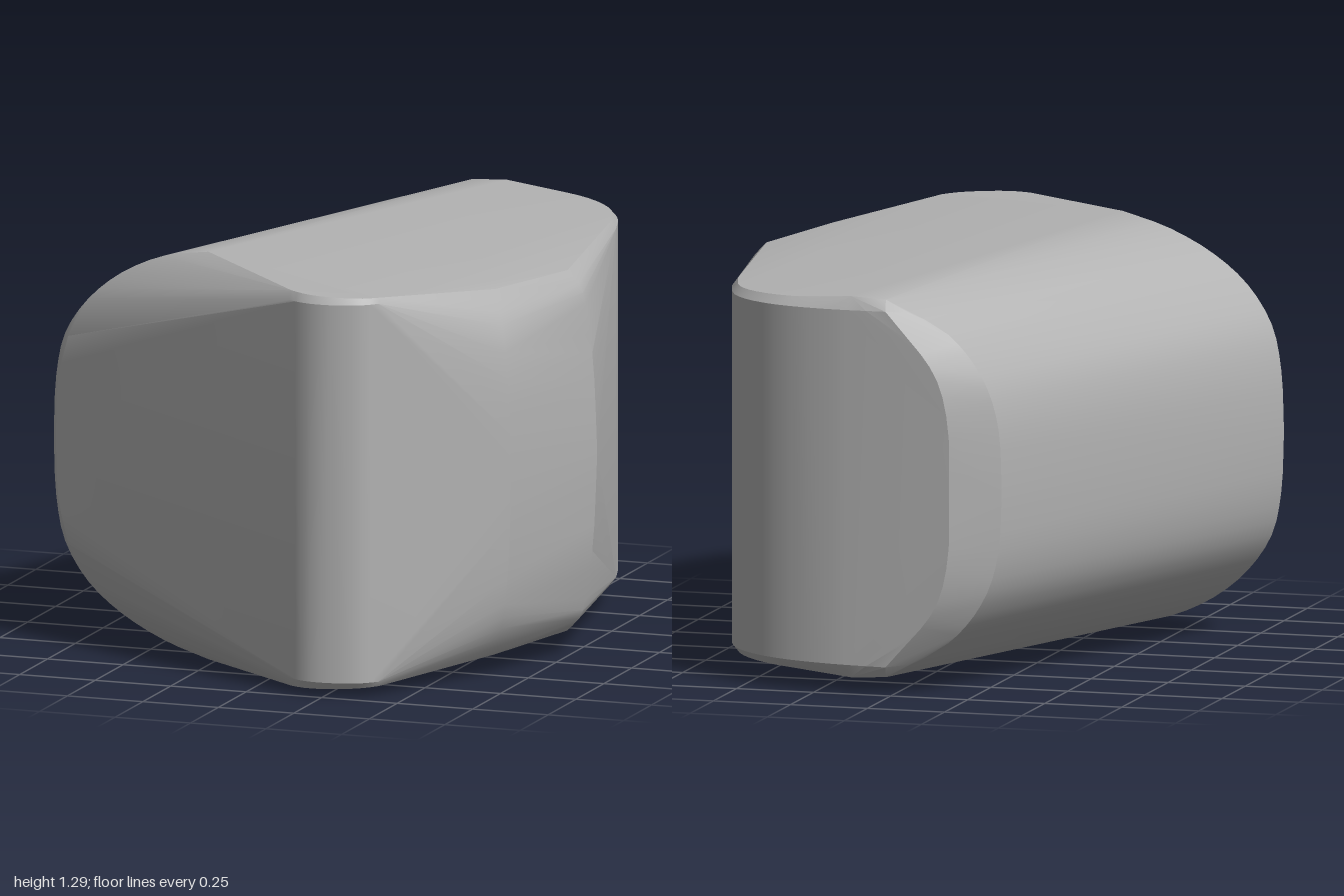
import * as THREE from 'three';
import { toCreasedNormals } from 'three/addons/utils/BufferGeometryUtils.js';
import { ConvexGeometry } from 'three/addons/geometries/ConvexGeometry.js';

const MID = 0.65; // the block mirrors about this height

// Smooth curve through a few points
function curve(points, samples) {
  const path = new THREE.CatmullRomCurve3(points.map((p) => new THREE.Vector3(...p)), false, 'centripetal');
  return path.getPoints(samples);
}

// Upright rounded wall: upper edge of the wall plus a small eased rim above it
function wall(plan, samples, edgeY, rimY, inset) {
  const foot = curve(plan.map(([x, z]) => [x, 0, z]), samples);
  return foot.flatMap((p) => {
    const inward = new THREE.Vector3(-p.x + 0.25, 0, -p.z).normalize().multiplyScalar(inset);
    return [
      new THREE.Vector3(p.x, edgeY(p.x), p.z),
      new THREE.Vector3(p.x, rimY(p.x), p.z).add(inward),
    ];
  });
}

export function createModel() {
  const grey = new THREE.MeshStandardMaterial({ color: 0xb2b2b2 });
  grey.name = 'grey';

  const upper = [
    // rounded long side, front end
    ...curve([
      [-0.84, 0.65, 0.45], [-0.83, 0.84, 0.455], [-0.795, 0.98, 0.47], [-0.71, 1.1, 0.49],
      [-0.6, 1.19, 0.495], [-0.45, 1.26, 0.52], [-0.28, 1.297, 0.58],
    ], 18),
    // rounded long side, back end
    ...curve([
      [-0.335, 0.65, -0.915], [-0.325, 0.84, -0.915], [-0.29, 0.97, -0.92], [-0.22, 1.08, -0.92],
      [-0.13, 1.16, -0.925], [0, 1.22, -0.965], [0.14, 1.25, -0.965],
    ], 18),
    // rim of the flat back face
    ...curve([
      [-0.19, 0.65, -1], [-0.185, 0.86, -1], [-0.15, 1.0, -0.998], [-0.08, 1.1, -0.995], [0.02, 1.18, -0.99],
    ], 10),
    // rim of the flat front face
    ...curve([[-0.82, 0.65, 0.485], [-0.81, 0.84, 0.49], [-0.77, 0.98, 0.51]], 6),
    // back corner and front nose
    ...wall([[0.02, -0.99], [0.2, -0.98], [0.38, -0.935], [0.5, -0.86], [0.58, -0.76], [0.635, -0.6]], 14,
      (x) => 1.21 - 0.01 * x, (x) => 1.245 - 0.03 * x, 0.025),
    ...wall([[0.13, 0.965], [0.18, 0.99], [0.24, 1], [0.31, 0.99], [0.37, 0.965], [0.41, 0.925]], 10,
      () => 1.25, (x) => 1.283 - 0.04 * x, 0.015),
    // bulging right side: ridge, then the facet beside the nose
    ...curve([
      [0.838, 0.65, 0.12], [0.825, 0.93, 0.12], [0.805, 1.08, 0.12],
      [0.785, 1.17, 0.12], [0.74, 1.222, 0.12],
    ], 10),
    ...curve([
      [0.725, 0.65, 0.59], [0.722, 0.83, 0.59], [0.705, 1.05, 0.585], [0.68, 1.15, 0.56], [0.64, 1.23, 0.5],
    ], 10),
  ];
  const lower = upper.map((p) => new THREE.Vector3(p.x, 2 * MID - p.y, p.z));

  const geometry = toCreasedNormals(new ConvexGeometry([...upper, ...lower]), 0.45);
  geometry.computeBoundingBox();
  geometry.translate(0, -geometry.boundingBox.min.y, 0);

  const block = new THREE.Mesh(geometry, grey);
  block.name = 'roundedBlock';
  const group = new THREE.Group();
  group.name = 'facetedBlock';
  group.add(block);
  return group;
}
